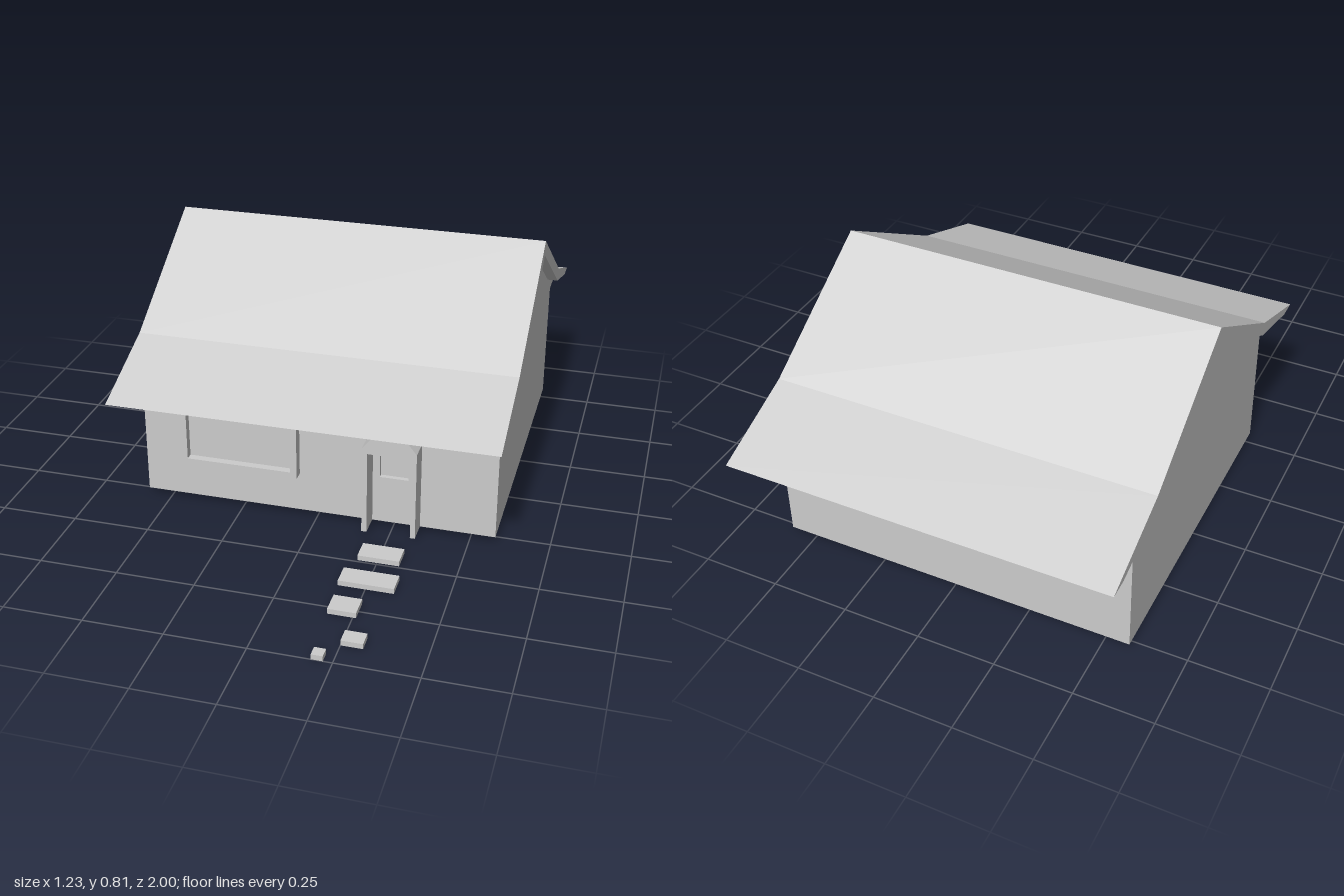
import * as THREE from 'three';

const FRONT = 0.28, BACK = -0.78, MID = -0.25; // wall planes and ridge line in z
const HALF = 0.58, BASE = 0.017, EAVE = 0.43;

const poly = (pts) => new THREE.Shape(pts.map(([x, y]) => new THREE.Vector2(x, y)));
const rect = (x0, x1, y0, y1) => [[x0, y0], [x1, y0], [x1, y1], [x0, y1]];

// Outline with rectangular or polygonal openings
function pierced(outline, ...holes) {
  const shape = poly(outline);
  shape.holes = holes.map((h) => new THREE.Path(h.map(([x, y]) => new THREE.Vector2(x, y))));
  return shape;
}

export function createModel() {
  const house = new THREE.Group();
  house.name = 'cottage';
  const gray = new THREE.MeshStandardMaterial({ color: 0xcccccc, side: THREE.DoubleSide });
  gray.name = 'light gray';

  const add = (name, geometry, x = 0, y = 0, z = 0) => {
    const mesh = new THREE.Mesh(geometry, gray);
    mesh.name = name;
    mesh.position.set(x, y, z);
    house.add(mesh);
    return mesh;
  };
  const extrude = (shape, depth) => new THREE.ExtrudeGeometry(shape, { depth, bevelEnabled: false });

  // Mirrors a half profile (z, y) about the ridge; the first coordinate becomes -z
  const across = (half) => half.map(([z, y]) => [-z, y])
    .concat(half.filter(([z]) => z !== MID).reverse().map(([z, y]) => [z - 2 * MID, y]));

  // Roof: a bent slab with flared eaves
  const outer = across([[0.495, EAVE], [0.2, 0.543], [MID, 0.815]]);
  const inner = across([[0.43, EAVE], [0.19, 0.5], [MID, 0.765]]);
  const roof = extrude(poly([...outer, ...inner.reverse()]), 1.23);
  roof.rotateY(Math.PI / 2);
  add('roof', roof, -0.615);

  // Gable ends, following the underside of the roof
  const gable = across([[FRONT, BASE], [FRONT, EAVE], [0.43, EAVE], [0.19, 0.5], [MID, 0.765]]);
  for (const side of [1, -1]) {
    const shape = poly(side > 0 ? gable : gable.map(([a, y]) => [-a, y]));
    const geometry = new THREE.ShapeGeometry(shape);
    geometry.rotateY(side * Math.PI / 2);
    add(side > 0 ? 'leftGableWall' : 'rightGableWall', geometry, side * HALF);
  }

  // Front and back walls
  const windowOuter = rect(-0.445, -0.058, 0.15, 0.365);
  const windowInner = rect(-0.425, -0.08, 0.17, 0.345);
  const doorway = rect(0.182, 0.322, BASE, 0.298);
  const frontOutline = [[-HALF, BASE], [0.182, BASE], [0.182, 0.298], [0.322, 0.298],
    [0.322, BASE], [HALF, BASE], [HALF, EAVE], [-HALF, EAVE]];
  add('frontWall', new THREE.ShapeGeometry(pierced(frontOutline, windowInner)), 0, 0, FRONT);
  const backWall = new THREE.ShapeGeometry(poly(rect(-HALF, HALF, BASE, EAVE)));
  backWall.rotateY(Math.PI);
  add('backWall', backWall, 0, 0, BACK);

  // Flat soffits under the eaves
  for (const [name, z] of [['frontSoffit', 0.355], ['backSoffit', -0.855]]) {
    const soffit = new THREE.PlaneGeometry(2 * HALF, 0.15);
    soffit.rotateX(Math.PI / 2);
    add(name, soffit, 0, EAVE, z);
  }

  // Window: raised frame around a set-back pane
  add('windowFrame', extrude(pierced(windowOuter, windowInner), 0.035), 0, 0, FRONT);
  add('windowPane', new THREE.ShapeGeometry(poly(windowInner)), 0, 0, FRONT + 0.01);

  // Door: deep arched surround, panel and small recessed light
  const surround = [[0.165, BASE], [0.182, BASE], [0.182, 0.298], [0.322, 0.298], [0.322, BASE],
    [0.338, BASE], [0.338, 0.316], [0.294, 0.371], [0.251, 0.384], [0.208, 0.371], [0.165, 0.316]];
  add('doorSurround', extrude(poly(surround), 0.075), 0, 0, FRONT);
  const light = rect(0.205, 0.297, 0.178, 0.275);
  add('door', new THREE.ShapeGeometry(pierced(doorway, light)), 0, 0, FRONT);
  const recess = new THREE.BoxGeometry(0.092, 0.097, 0.015);
  recess.setIndex([...recess.index.array].filter((_, i) => i < 24 || i >= 30)); // open at the front
  add('doorLight', recess, 0.251, 0.2265, FRONT - 0.0075);

  // Stepping stones, hollow underneath: x range, z range
  const stones = [
    [0.188, 0.32, 0.42, 0.492], [0.165, 0.338, 0.565, 0.637], [0.173, 0.26, 0.71, 0.783],
    [0.25, 0.316, 0.867, 0.918], [0.187, 0.222, 0.965, 1],
  ];
  for (const [x0, x1, z0, z1] of stones) {
    const stone = new THREE.BoxGeometry(x1 - x0, BASE, z1 - z0);
    stone.setIndex([...stone.index.array].filter((_, i) => i < 18 || i >= 24));
    add('steppingStone', stone, (x0 + x1) / 2, BASE / 2, (z0 + z1) / 2);
  }
  return house;
}
